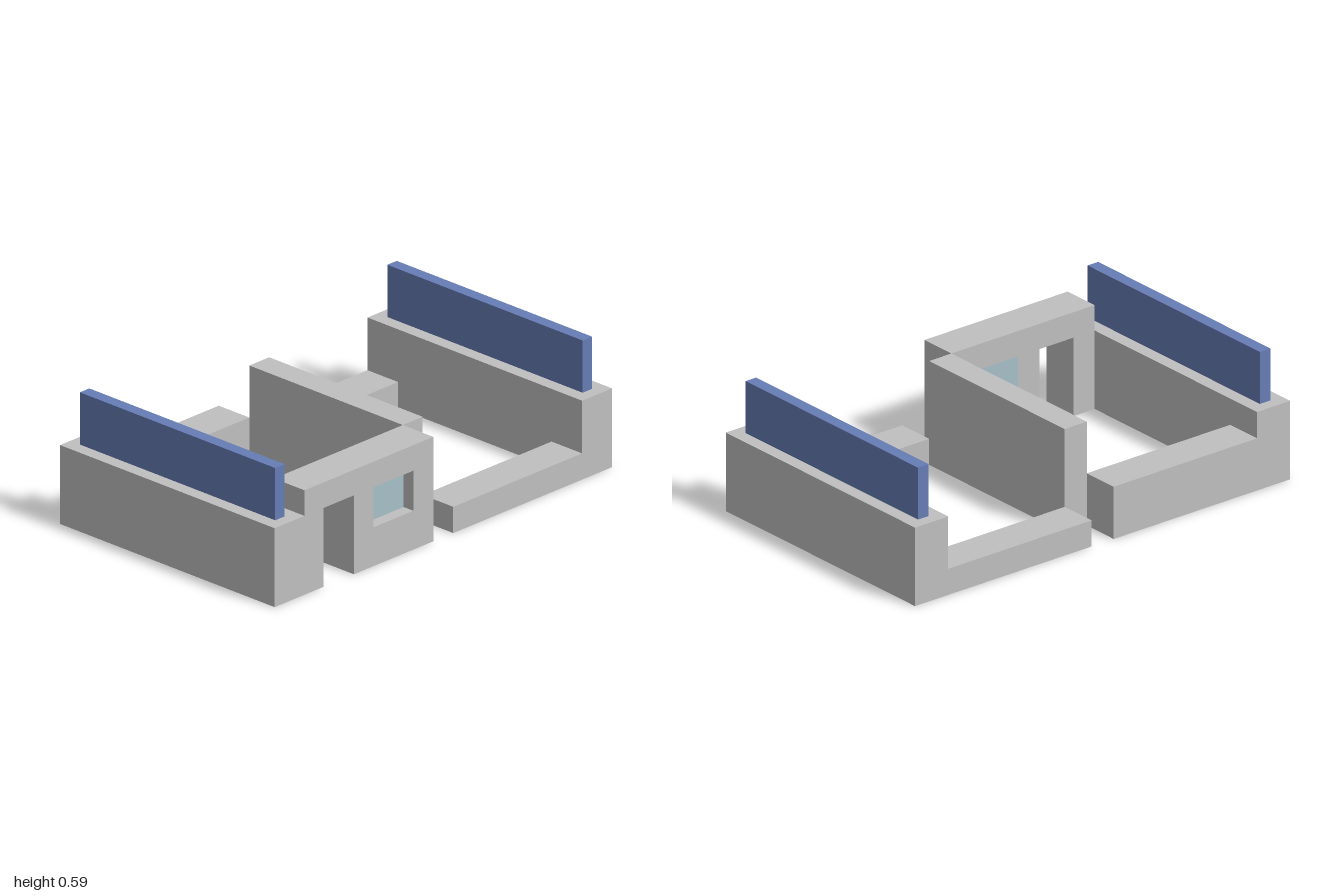
import * as THREE from 'three';

const concrete = new THREE.MeshStandardMaterial({ color: 0xc0c0c0 });
concrete.name = 'concrete grey';
const panelBlue = new THREE.MeshStandardMaterial({ color: 0x667db5 });
panelBlue.name = 'panel blue';
const glass = new THREE.MeshStandardMaterial({ color: 0xa8c0c8 });
glass.name = 'window glass';

const HALF_DEPTH = 0.615, INNER_Z = 0.44;  // outer and inner face of front/back walls
const SIDE_X = 0.823, CORE_X = 0.059;      // inner face of side walls, half width of centre wall
const SIDE_H = 0.355, TALL_H = 0.47;

// Box given by its minimum and maximum corners
function block(name, material, [x0, y0, z0], [x1, y1, z1]) {
  const geometry = new THREE.BoxGeometry(x1 - x0, y1 - y0, z1 - z0);
  geometry.translate((x0 + x1) / 2, (y0 + y1) / 2, (z0 + z1) / 2);
  const mesh = new THREE.Mesh(geometry, material);
  mesh.name = name;
  return mesh;
}

// Closed rectangular outline, used for shapes and holes
function rectangle(Type, x0, y0, x1, y1) {
  return new Type([[x0, y0], [x1, y0], [x1, y1], [x0, y1]].map(p => new THREE.Vector2(...p)));
}

// Side wall with a slot through its full height, filled by an upright blue panel
function sideWall(name, side) {
  const group = new THREE.Group();
  group.name = name;
  const centre = side * (1 + SIDE_X) / 2, half = (1 - SIDE_X) / 2;
  const slot = 0.028, slotZ = 0.56;
  const plan = rectangle(THREE.Shape, centre - half, -HALF_DEPTH, centre + half, HALF_DEPTH);
  plan.holes.push(rectangle(THREE.Path, centre - slot, -slotZ, centre + slot, slotZ));
  const geometry = new THREE.ExtrudeGeometry(plan, { depth: SIDE_H, bevelEnabled: false });
  geometry.rotateX(-Math.PI / 2);
  const wall = new THREE.Mesh(geometry, concrete);
  wall.name = name + 'Body';
  group.add(wall, block(name + 'Panel', panelBlue,
    [centre - slot, 0, -slotZ], [centre + slot, 0.59, slotZ]));
  return group;
}

// Tall front wall with a doorway and a glazed window
function facade() {
  const group = new THREE.Group();
  group.name = 'facade';
  const outline = new THREE.Shape([
    [-SIDE_X, 0], [-0.71, 0], [-0.71, 0.355], [-0.53, 0.355], [-0.53, 0],
    [-CORE_X, 0], [-CORE_X, TALL_H], [-SIDE_X, TALL_H],
  ].map(p => new THREE.Vector2(...p)));
  outline.holes.push(rectangle(THREE.Path, -0.415, 0.175, -0.178, 0.355));
  const geometry = new THREE.ExtrudeGeometry(outline, { depth: HALF_DEPTH - INNER_Z, bevelEnabled: false });
  geometry.translate(0, 0, INNER_Z);
  const wall = new THREE.Mesh(geometry, concrete);
  wall.name = 'facadeWall';
  // Pane is flush inside and recessed outside
  group.add(wall, block('windowPane', glass, [-0.415, 0.175, INNER_Z], [-0.178, 0.355, 0.56]));
  return group;
}

export function createModel() {
  const model = new THREE.Group();
  model.name = 'walledEnclosure';
  model.add(
    sideWall('rightSideWall', -1),
    sideWall('leftSideWall', 1),
    facade(),
    block('centreWall', concrete, [-CORE_X, 0, -INNER_Z], [CORE_X, TALL_H, INNER_Z]),
    // Low walls closing the two bays
    block('frontLowWall', concrete, [CORE_X, 0, INNER_Z], [SIDE_X, 0.118, HALF_DEPTH]),
    block('backLowWall', concrete, [CORE_X, 0, -HALF_DEPTH], [SIDE_X, 0.118, -INNER_Z]),
    block('backMiddleWall', concrete, [-SIDE_X, 0, -HALF_DEPTH], [-CORE_X, 0.236, -INNER_Z]),
  );
  return model;
}
